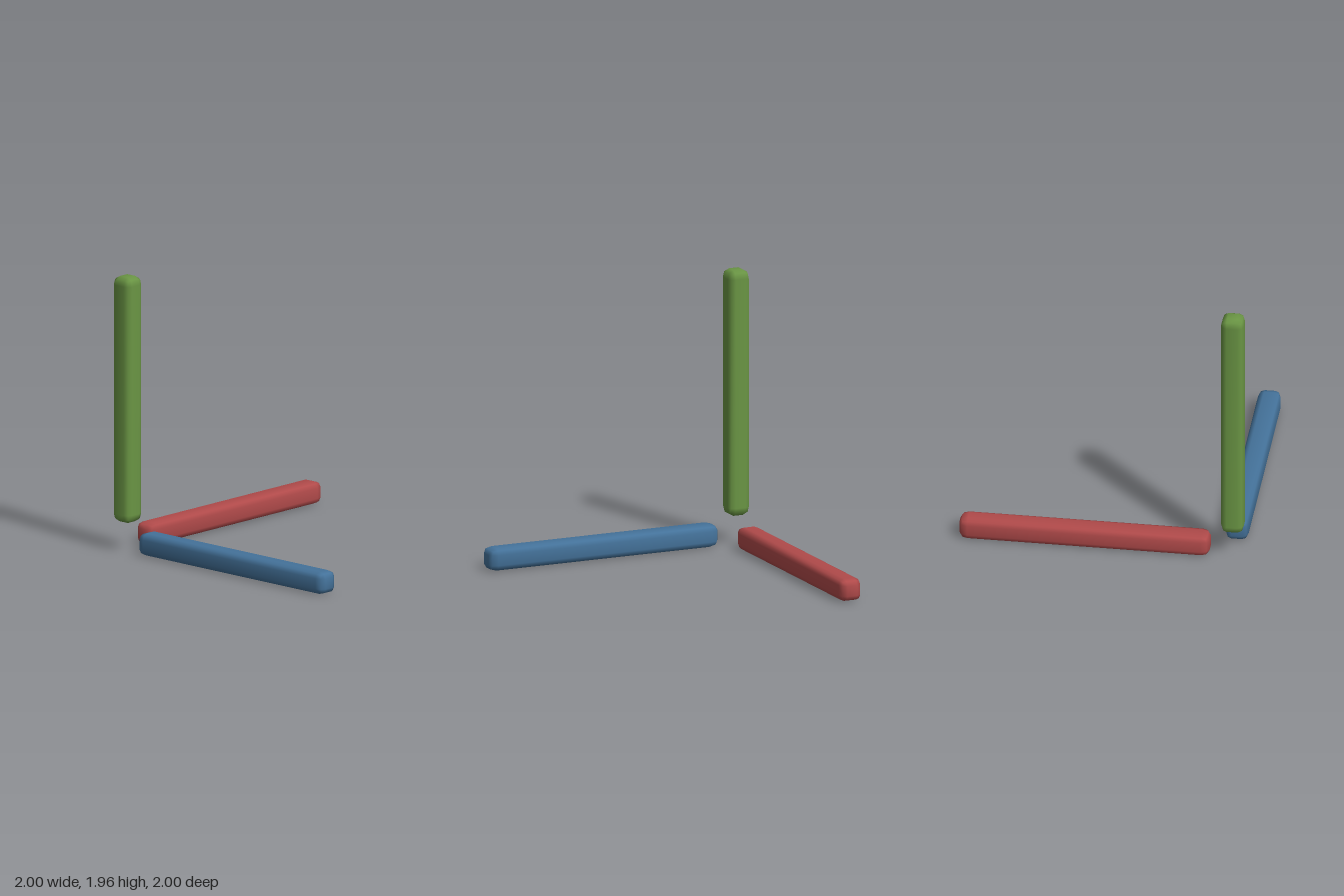
import * as THREE from 'three';
import { mergeVertices } from 'three/addons/utils/BufferGeometryUtils.js';

const WIDTH = 0.16, LENGTH = 1.76;

// Box along y with bevelled edges; the bevel reaches further along the length
function barGeometry() {
  let g = new THREE.BoxGeometry(1, 1, 1, 3, 3, 3);
  g.deleteAttribute('normal');
  g.deleteAttribute('uv');
  g = mergeVertices(g);
  const half = new THREE.Vector3(WIDTH / 2, LENGTH / 2, WIDTH / 2);
  const bevel = new THREE.Vector3(0.043, 0.06, 0.043);
  const inner = half.clone().sub(bevel);
  const p = g.attributes.position, v = new THREE.Vector3();
  for (let i = 0; i < p.count; i++) {
    v.fromBufferAttribute(p, i);
    const sign = new THREE.Vector3(Math.sign(v.x), Math.sign(v.y), Math.sign(v.z));
    // outermost rows swell along the bevel, inner rows stay on the flat faces
    const dir = new THREE.Vector3(...v.toArray().map((c) => (Math.abs(c) > 0.4 ? Math.sign(c) : 0))).normalize();
    v.copy(inner).multiply(sign).add(dir.multiply(bevel));
    p.setXYZ(i, v.x, v.y, v.z);
  }
  g.computeVertexNormals();
  return g;
}

export function createModel() {
  const group = new THREE.Group();
  const geometry = barGeometry();
  const near = -1 + WIDTH / 2, mid = 1 - LENGTH / 2;

  const addBar = (name, colorName, color, position, rotation) => {
    const material = new THREE.MeshStandardMaterial({ color });
    material.name = colorName;
    const bar = new THREE.Mesh(geometry, material);
    bar.name = name;
    bar.position.set(...position);
    bar.rotation.set(...rotation);
    group.add(bar);
  };

  // Three separate bars, one along each axis
  addBar('xAxisBar', 'red', 0xb04a4a, [mid, WIDTH / 2, near], [0, 0, -Math.PI / 2]);
  addBar('yAxisBar', 'green', 0x6a9544, [near, 0.203 + LENGTH / 2, near], [0, 0, 0]);
  addBar('zAxisBar', 'blue', 0x44729a, [near, WIDTH / 2, mid], [Math.PI / 2, 0, 0]);
  return group;
}
